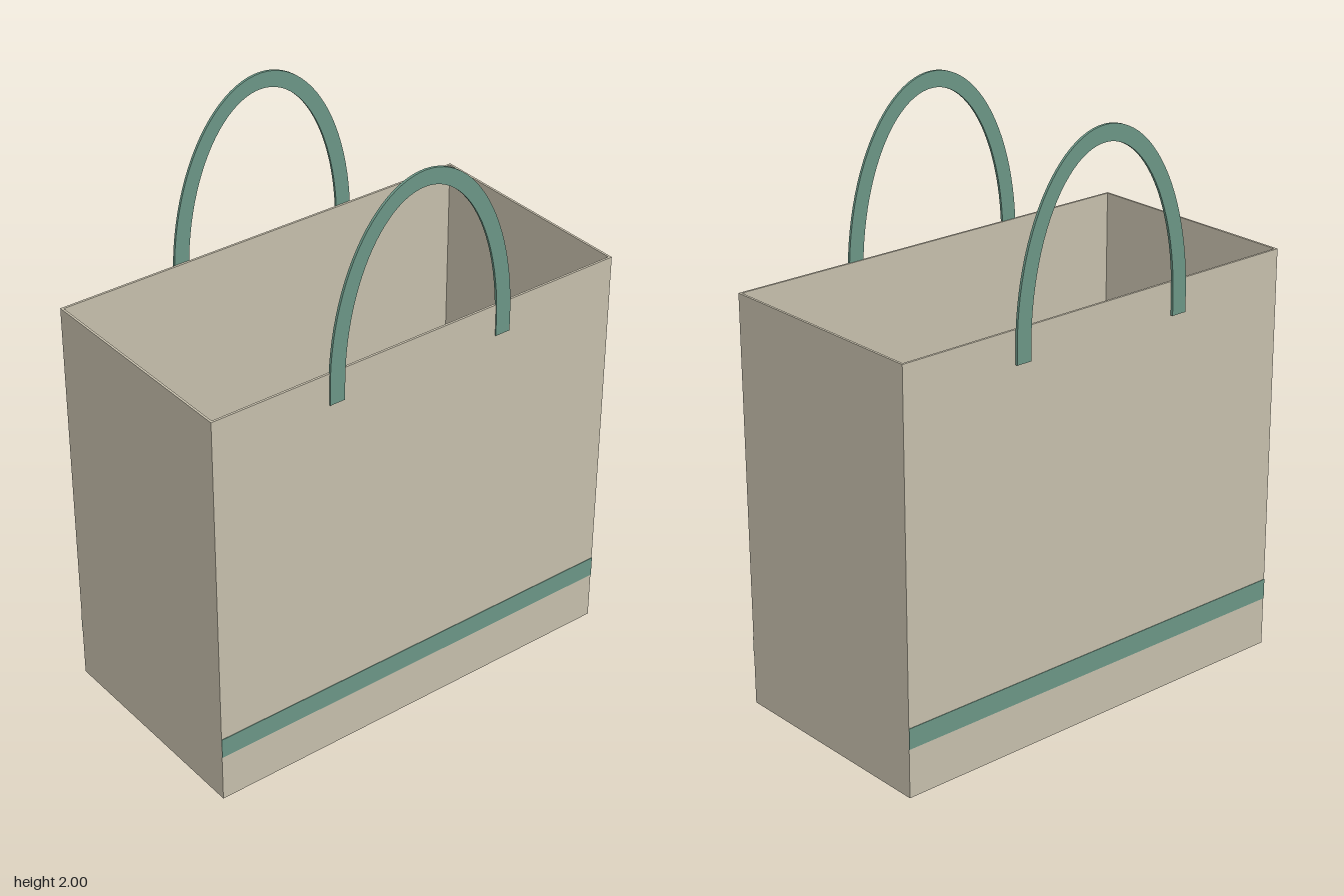
import * as THREE from 'three';

export function createModel() {
  const group = new THREE.Group();
  const canvas = new THREE.MeshStandardMaterial({ color: 0xc6bfac });
  canvas.name = 'beige canvas';
  const green = new THREE.MeshStandardMaterial({ color: 0x6b9686 });
  green.name = 'muted green';

  const add = (name, geometry, material, x, y, z) => {
    const mesh = new THREE.Mesh(geometry, material);
    mesh.name = name;
    mesh.position.set(x, y, z);
    group.add(mesh);
  };

  const W = 0.78, H = 1.433, wall = 0.008;
  const front = 0.407, back = -0.397;
  const depth = front - back, midZ = (front + back) / 2;

  // Open shell: a rectangular ring of walls extruded upwards
  const ring = new THREE.Shape();
  const rect = (path, w, d) =>
    path.moveTo(-w, -d).lineTo(w, -d).lineTo(w, d).lineTo(-w, d).closePath();
  rect(ring, W, depth / 2);
  const opening = new THREE.Path();
  rect(opening, W - wall, depth / 2 - wall);
  ring.holes.push(opening);
  const walls = new THREE.ExtrudeGeometry(ring, { depth: H, bevelEnabled: false });
  walls.rotateX(-Math.PI / 2);
  add('bagWalls', walls, canvas, 0, 0, midZ);

  // Floor inside the walls
  add('bagFloor', new THREE.BoxGeometry(2 * (W - wall), wall, depth - 2 * wall),
    canvas, 0, wall / 2, midZ);

  // Stripes across the front and back
  const stripe = new THREE.BoxGeometry(2 * W, 0.072, 0.002);
  add('frontStripe', stripe, green, 0, 0.207, front + 0.001);
  add('backStripe', stripe, green, 0, 0.207, back - 0.001);

  // Flat arched handle: half an elliptical band with short straight ends
  const baseY = 1.38, endY = 1.322, outer = 0.352, inner = 0.296;
  const arch = new THREE.Shape();
  arch.moveTo(outer, endY);
  arch.lineTo(outer, baseY);
  arch.absellipse(0, baseY, outer, 2 - baseY, 0, Math.PI, false);
  arch.lineTo(-outer, endY);
  arch.lineTo(-inner, endY);
  arch.lineTo(-inner, baseY);
  arch.absellipse(0, baseY, inner, 1.945 - baseY, Math.PI, 0, true);
  arch.lineTo(inner, endY);
  const handle = new THREE.ExtrudeGeometry(arch, {
    depth: 0.009, bevelEnabled: false, curveSegments: 24,
  });
  add('frontHandle', handle, green, 0, 0, 0.402);
  add('backHandle', handle, green, 0, 0, -0.409);

  return group;
}
